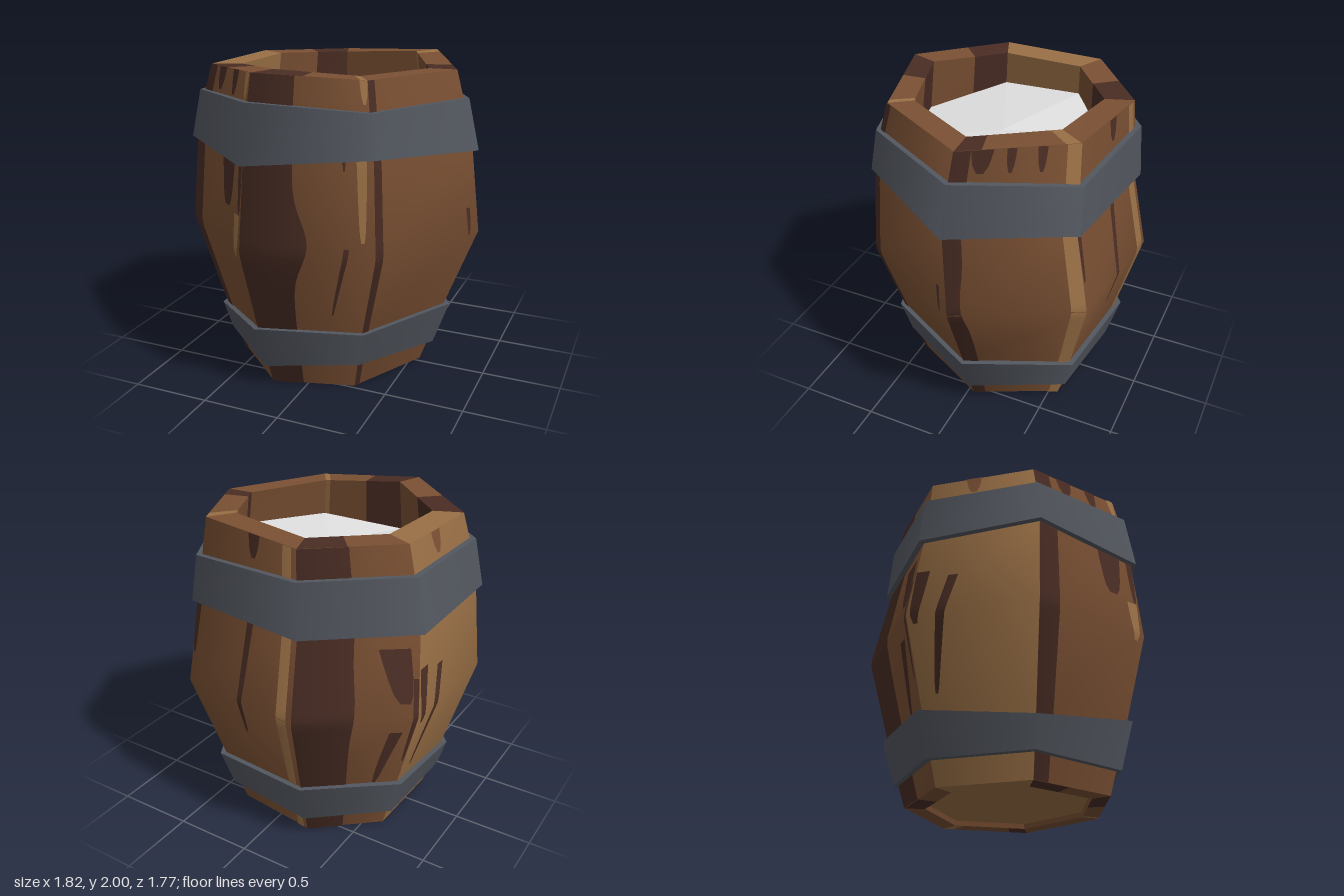
import * as THREE from 'three';

const mat = (name, color) => {
  const m = new THREE.MeshStandardMaterial({ color });
  m.name = name;
  return m;
};

export function createModel() {
  const wood = mat('wood', 0x7a5033);
  const dark = mat('dark wood', 0x4a2d24);
  const light = mat('light wood', 0x9a7046);
  const iron = mat('iron', 0x53575f);
  const pale = mat('pale filling', 0xe0e0e0);

  // Seven uneven corners (x, z) at the belly, left to right as seen from outside
  const corners = [[-0.91, 0.36], [-0.28, 0.88], [0.49, 0.675], [0.905, -0.06],
    [0.53, -0.785], [-0.3, -0.885], [-0.885, -0.435]];
  const N = corners.length;
  const lift = [0, 0.035, 0.005, 0, 0.035, 0, 0.005];
  const TOP = 1.965;
  // Barrel profile: y, x scale, z scale, x shift, z shift
  const profile = [[0, 0.65, 0.705, -0.035, 0], [0.42, 0.8, 0.84, -0.025, 0], [0.96, 1, 1, 0, 0],
    [1.5, 0.94, 0.905, 0, 0.03], [1.8, 0.868, 0.87, -0.01, 0.015], [TOP, 0.82, 0.835, -0.015, 0]];

  // Point of the barrel at one corner; grow widens or narrows the ring
  function cornerPoint(corner, y, grow = 0) {
    const i = corner % N;
    let k = 0;
    while (k < profile.length - 2 && y > profile[k + 1][0]) k++;
    const a = profile[k], b = profile[k + 1];
    const f = (y - a[0]) / (b[0] - a[0]);
    const [, sx, sz, ox, oz] = a.map((v, j) => v + (b[j] - v) * f);
    const up = lift[i] * Math.max(0, (y - 1.8) / (TOP - 1.8));
    return new THREE.Vector3(corners[i][0] * (sx + grow) + ox, y + up, corners[i][1] * (sz + grow) + oz);
  }
  const onFace = (face, u, y, grow = 0) =>
    cornerPoint(face, y, grow).lerp(cornerPoint(face + 1, y, grow), u);

  // Strip through rows of [left, right] points, running upward on the outside;
  // round strips shade smoothly from stave to stave
  function strip(parent, name, material, rows, round = false) {
    const pos = [], idx = [];
    rows.forEach(([l, r], k) => {
      pos.push(l.x, l.y, l.z, r.x, r.y, r.z);
      if (k) {
        const p = 2 * k - 2;
        idx.push(p, p + 1, p + 3, p, p + 3, p + 2);
      }
    });
    const g = new THREE.BufferGeometry();
    g.setAttribute('position', new THREE.Float32BufferAttribute(pos, 3));
    g.setIndex(idx);
    g.computeVertexNormals();
    if (round) {
      rows.flat().forEach((p, i) => {
        const ny = g.attributes.normal.getY(i);
        const s = Math.sqrt(1 - ny * ny) / Math.hypot(p.x, p.z);
        g.attributes.normal.setXYZ(i, p.x * s, ny, p.z * s);
      });
    }
    const m = new THREE.Mesh(g, material);
    m.name = name;
    parent.add(m);
  }

  const model = new THREE.Group();
  model.name = 'barrel';
  const section = (name) => {
    const g = new THREE.Group();
    g.name = name;
    model.add(g);
    return g;
  };
  const staves = section('staves'), grain = section('grain'), rim = section('rim');
  const base = section('base'), hoops = section('hoops'), filling = section('filling');

  const RIM = -0.19, FLOOR = 1.73, RECESS = 0.03;
  const baseCentre = new THREE.Vector3(-0.03, RECESS, 0);
  const fillCentre = new THREE.Vector3(-0.01, FLOOR, 0);
  // Height of the filling at each corner, relative to its centre
  const fillTilt = [0.01, -0.06, 0, 0.02, 0.01, -0.02, 0.04];
  // Dark start and light end of each stave's rim
  const darkEnd = [0.45, 0.45, 0, 0.22, 0, 0.45, 0];
  const lightStart = [1, 0.94, 1, 0.88, 1, 1, 0];

  for (let f = 0; f < N; f++) {
    const row = (y, grow = 0, u0 = 0, u1 = 1) => [onFace(f, u0, y, grow), onFace(f, u1, y, grow)];

    // Outer stave
    strip(staves, 'stave', f === 6 ? light : wood, profile.map((p) => row(p[0])), true);

    // Top rim, inner wall and bottom rim
    const d = darkEnd[f], e = lightStart[f];
    for (const [u0, u1, m] of [[0, d, dark], [d, e, wood], [e, 1, light]]) {
      if (u0 === u1) continue;
      strip(rim, 'rimTop', m, [row(TOP, 0, u0, u1), row(TOP, RIM, u0, u1)]);
      strip(rim, 'innerWall', m, [row(TOP, RIM, u0, u1), row(1.64, RIM - 0.03, u0, u1)]);
      strip(base, 'baseRim', m, [row(0, -0.13, u0, u1), row(0, 0, u0, u1)]);
    }

    // Recessed underside
    strip(base, 'baseWall', wood, [row(RECESS, -0.15), row(0, -0.13)]);
    strip(base, 'baseFloor', light, [[baseCentre, baseCentre], row(RECESS, -0.15)]);

    // Filling surface
    const edge = [f, (f + 1) % N].map((i) => cornerPoint(i, FLOOR + fillTilt[i], RIM - 0.02));
    strip(filling, 'fillingSurface', pale, [edge, [fillCentre, fillCentre]]);
  }

  // Hoops: uneven heights of the lower and upper edge at each corner
  function hoop(name, lo, hi) {
    for (let f = 0; f < N; f++) {
      const edge = (ys, grow) => [f, (f + 1) % N].map((i) => cornerPoint(i, ys[i], grow));
      strip(hoops, name, iron, [edge(lo, -0.01), edge(lo, 0.04)]);
      strip(hoops, name, iron, [edge(lo, 0.04), edge(hi, 0.04)], true);
      strip(hoops, name, iron, [edge(hi, 0.04), edge(hi, -0.01)]);
    }
  }
  hoop('upperHoop', [1.505, 1.485, 1.545, 1.487, 1.475, 1.46, 1.47], [1.805, 1.835, 1.8, 1.8, 1.77, 1.795, 1.8]);
  hoop('lowerHoop', [0.145, 0.14, 0.195, 0.14, 0.14, 0.14, 0.145], [0.33, 0.43, 0.43, 0.43, 0.385, 0.42, 0.41]);

  // Painted grain: thin strip on a face, its edges given by a rule of the height
  function paint(name, face, material, y0, y1, edges) {
    const steps = Math.ceil((y1 - y0) / 0.05);
    const rows = Array.from({ length: steps + 1 }, (_, s) => {
      const y = y0 + ((y1 - y0) * s) / steps;
      return edges(y, s / steps).map((u) => onFace(face, u, y, 0.006));
    });
    strip(grain, name, material, rows, true);
  }

  // Full-height stripes: the right edge swells near the belly
  const stripe = (face, material, left, right, swell = 0) =>
    paint('grainStripe', face, material, 0, TOP, (y) =>
      [left, right + swell * Math.exp(-(((y - 1.03) / 0.2) ** 2))]);
  stripe(0, dark, 0, 0.18);
  stripe(1, dark, 0, 0.38, 0.12);
  stripe(2, dark, 0, 0.07);
  stripe(3, dark, 0, 0.14, -0.04);
  stripe(3, light, 0.89, 1);
  stripe(4, light, 0.86, 0.95);
  stripe(5, dark, 0, 0.46, 0.03);

  // Short streaks: narrow at the foot, leaning along the face
  const streak = (face, material, y0, y1, left, right, lean = 0) =>
    paint('grainStreak', face, material, y0, y1, (y, f) => {
      const mid = (left + right) / 2 + lean * (f - 1);
      const half = ((right - left) / 2) * (0.3 + 0.7 * Math.sqrt(f));
      return [mid - half, mid + half];
    });
  streak(0, dark, 1.2, 1.55, 0.6, 0.86);
  streak(0, light, 0.92, 1.18, 0.87, 0.97);
  streak(0, dark, 1.19, 1.6, 0.92, 0.995);
  streak(1, dark, 0.55, 1.02, 0.77, 0.81, 0.08);
  streak(1, dark, 1.47, 1.55, 0.76, 0.79);
  streak(1, light, 1.06, 1.55, 0.87, 0.95);
  streak(2, dark, 0.95, 1.13, 0.88, 0.92);
  streak(4, dark, 0.72, 1.5, 0.53, 0.59, 0.07);
  streak(4, dark, 1.15, 1.5, 0, 0.05);
  streak(5, dark, 0.42, 0.85, 0.79, 0.9, 0.1);
  streak(5, dark, 1.05, 1.38, 0.66, 0.92, -0.1);
  streak(5, dark, 0.6, 1.2, 0.95, 0.995);
  streak(6, dark, 0.9, 1.25, 0.01, 0.12);
  streak(6, dark, 0.5, 1.2, 0.28, 0.36, 0.16);

  // Knots on the rim above the upper hoop
  for (const [face, material, left, right] of [[0, dark, 0.26, 0.44], [0, dark, 0.61, 0.74],
    [0, light, 0.9, 0.98], [1, light, 0.93, 1], [3, dark, 0.14, 0.32], [3, dark, 0.42, 0.5],
    [3, dark, 0.66, 0.74], [4, dark, 0.5, 0.62], [6, wood, 0.35, 0.5]]) {
    streak(face, material, 1.84, TOP, left, right);
  }

  return model;
}
